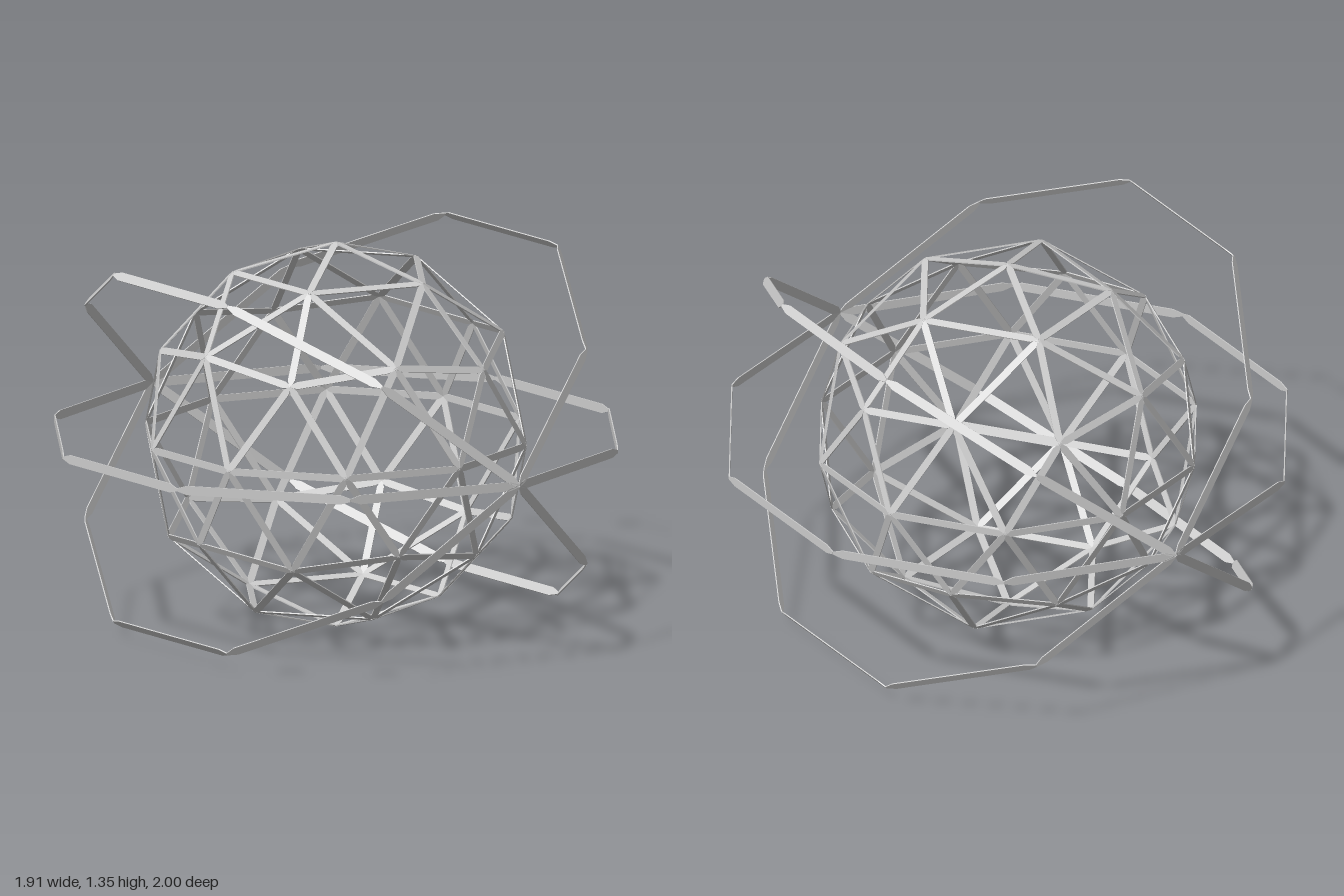
import * as THREE from 'three';
import { mergeGeometries } from 'three/addons/utils/BufferGeometryUtils.js';

const CENTRE_Y = 0.675;
const SPHERE_R = 0.675;
const RING_TILT = 40;
const THICK = 0.004;

const material = new THREE.MeshStandardMaterial({ color: 0xcccccc, flatShading: true });

// Thin flat slat from a to b, facing away from the origin, with tapered ends
function slat(a, b, width, taper) {
  const len = a.distanceTo(b), h = width / 2, tip = h * 0.3;
  const outline = [
    [-len / 2, -tip], [-len / 2 + taper, -h], [len / 2 - taper, -h],
    [len / 2, -tip], [len / 2, tip], [len / 2 - taper, h],
    [-len / 2 + taper, h], [-len / 2, tip],
  ].map(([x, y]) => new THREE.Vector2(x, y));
  const geo = new THREE.ExtrudeGeometry(new THREE.Shape(outline), { depth: THICK, bevelEnabled: false });
  geo.translate(0, 0, -THICK / 2);
  const mid = a.clone().add(b).multiplyScalar(0.5);
  const along = b.clone().sub(a).normalize();
  const out = mid.clone().normalize();
  const across = out.clone().cross(along);
  return geo.applyMatrix4(new THREE.Matrix4().makeBasis(along, across, out).setPosition(mid));
}

// Pairs of points closer together than the limit
function closePairs(points, limit) {
  const pairs = [];
  points.forEach((a, i) => points.slice(i + 1).forEach((b) => {
    if (a.distanceTo(b) < limit) pairs.push([a, b]);
  }));
  return pairs;
}

// Icosahedron corners plus its edge midpoints pushed out to the unit sphere
function geodesicPoints() {
  const corners = [new THREE.Vector3(0, 1, 0), new THREE.Vector3(0, -1, 0)];
  const y = 1 / Math.sqrt(5), r = 2 / Math.sqrt(5);
  for (let k = 0; k < 5; k++) {
    const t = (k * 2 * Math.PI) / 5;
    const upper = new THREE.Vector3(r * Math.cos(t), y, r * Math.sin(t));
    corners.push(upper, upper.clone().negate());
  }
  const mids = closePairs(corners, 1.2).map(([a, b]) => a.clone().add(b).normalize());
  return [...corners, ...mids];
}

export function createModel() {
  const model = new THREE.Group();
  model.name = 'geodesicSphereWithRings';

  // Inner geodesic lattice
  const points = geodesicPoints().map((p) => p.multiplyScalar(SPHERE_R));
  const struts = closePairs(points, 0.7 * SPHERE_R).map(([a, b]) => slat(a, b, 0.025, 0.025));
  const lattice = new THREE.Mesh(mergeGeometries(struts), material);
  lattice.name = 'geodesicLattice';
  lattice.position.y = CENTRE_Y;
  model.add(lattice);

  // Ten-sided ring lying flat, with a corner on the z axis
  const corner = (k) => new THREE.Vector3(Math.sin((k * Math.PI) / 5), 0, Math.cos((k * Math.PI) / 5));
  const sides = [];
  for (let k = 0; k < 10; k++) sides.push(slat(corner(k), corner(k + 1), 0.032, 0.035));
  const ringGeometry = mergeGeometries(sides);

  // Three rings sharing the z axis
  [['levelRing', 0], ['leftTiltedRing', RING_TILT], ['rightTiltedRing', -RING_TILT]].forEach(([name, tilt]) => {
    const ring = new THREE.Mesh(ringGeometry, material);
    ring.name = name;
    ring.rotation.z = THREE.MathUtils.degToRad(tilt);
    ring.position.y = CENTRE_Y;
    model.add(ring);
  });

  return model;
}
